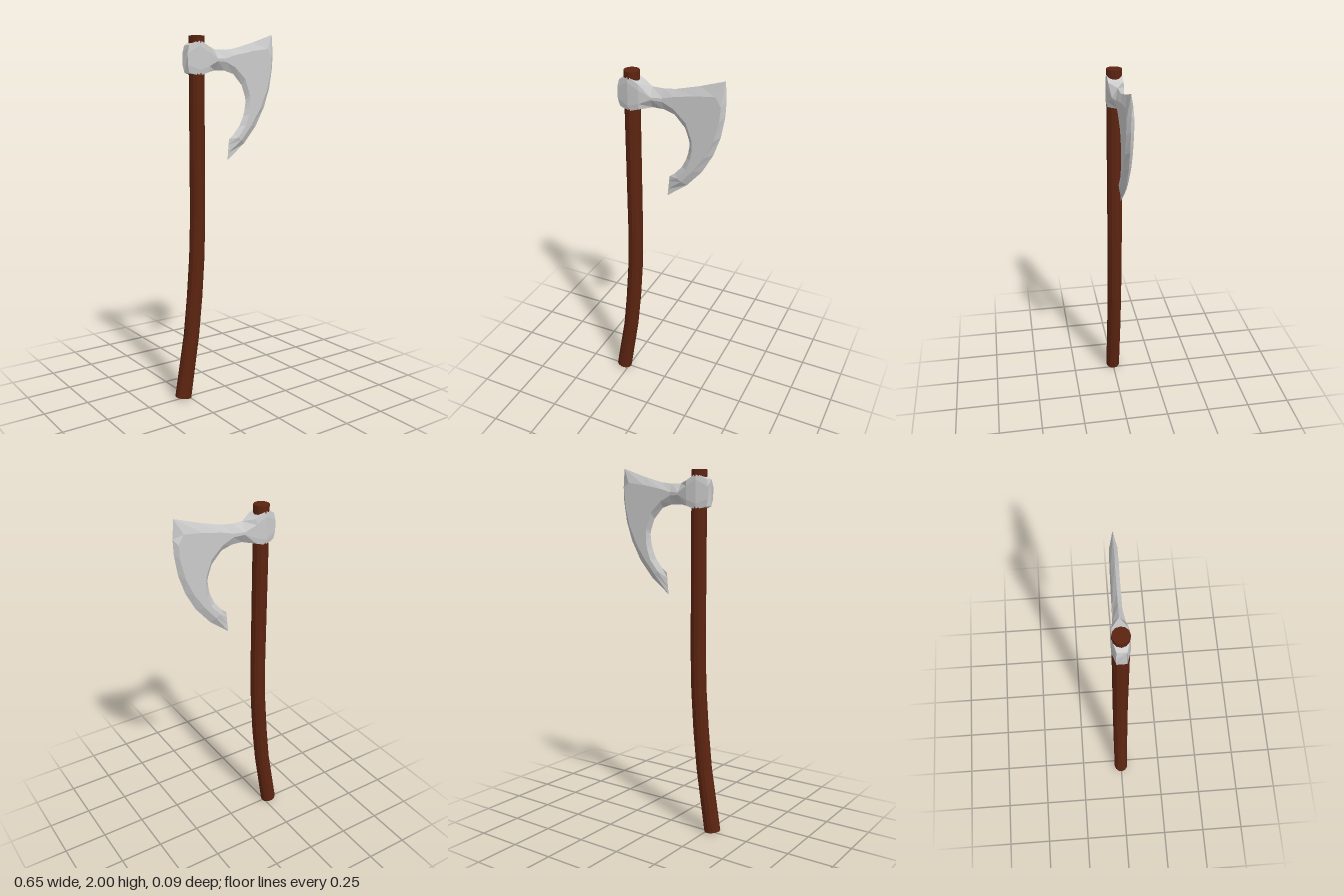
import * as THREE from 'three';

// Flat-shaded skin over equal-length rings, closed at both ends.
// Rings run counter-clockwise about the direction of travel.
function loft(rings, material, name) {
  const pos = [];
  const ab = new THREE.Vector3(), ac = new THREE.Vector3();
  const tri = (a, b, c) => {
    ab.subVectors(b, a);
    ac.subVectors(c, a);
    if (ab.cross(ac).length() > 1e-8) pos.push(...a, ...b, ...c);
  };
  const n = rings[0].length;
  for (let s = 0; s < rings.length - 1; s++) {
    const r = rings[s], q = rings[s + 1];
    for (let j = 0; j < n; j++) {
      const k = (j + 1) % n;
      tri(r[j], r[k], q[k]);
      tri(r[j], q[k], q[j]);
    }
  }
  const first = rings[0], last = rings[rings.length - 1];
  for (let j = 1; j < n - 1; j++) {
    tri(first[0], first[j + 1], first[j]);
    tri(last[0], last[j], last[j + 1]);
  }
  const geo = new THREE.BufferGeometry();
  geo.setAttribute('position', new THREE.Float32BufferAttribute(pos, 3));
  geo.computeVertexNormals();
  const mesh = new THREE.Mesh(geo, material);
  mesh.name = name;
  return mesh;
}

// Curved haft: 12-sided rings square to the path, [x, y, radius] from the top down
function createHandle() {
  const path = [
    [-0.18, 1.98, 0.041], [-0.18, 1.5, 0.041], [-0.18, 1.02, 0.041],
    [-0.187, 0.8, 0.042], [-0.203, 0.58, 0.043], [-0.226, 0.36, 0.043], [-0.283, 0.008, 0.046],
  ];
  const rings = path.map(([x, y, r], i) => {
    const a = path[Math.max(i - 1, 0)], b = path[Math.min(i + 1, path.length - 1)];
    const d = new THREE.Vector2(b[0] - a[0], b[1] - a[1]).normalize();
    return Array.from({ length: 12 }, (_, k) => {
      const t = (k / 12) * Math.PI * 2, c = Math.cos(t) * r;
      return new THREE.Vector3(x - d.y * c, y + d.x * c, Math.sin(t) * 0.042);
    });
  });
  const material = new THREE.MeshStandardMaterial({ color: 0x5c2410, flatShading: true });
  return loft(rings, material, 'handle');
}

// Head: each station spans the outer (top, then cutting) edge to the inner (lower) edge.
// [outer x, y, inner x, y, outer bevel, inner bevel, half thickness, half width of edge]
function createHead() {
  const stations = [
    // eye around the haft
    [-0.24, 1.93, -0.24, 1.79, 0.04, 0.04, 0.026, 0.024],
    [-0.185, 1.958, -0.185, 1.775, 0.03, 0.03, 0.044, 0.04],
    [-0.125, 1.925, -0.125, 1.795, 0.03, 0.03, 0.044, 0.04],
    // neck
    [-0.065, 1.912, -0.065, 1.803, 0.048, 0.048, 0.03, 0],
    [-0.005, 1.912, -0.005, 1.803, 0.045, 0.045, 0.02, 0],
    // blade root
    [0.06, 1.92, 0.055, 1.785, 0.035, 0.035, 0.019, 0],
    [0.185, 1.955, 0.112, 1.725, 0.05, 0.035, 0.019, 0],
    // upper horn and crescent
    [0.317, 2.0, 0.134, 1.665, 0.09, 0.03, 0.019, 0],
    [0.325, 1.9, 0.138, 1.645, 0.035, 0.03, 0.019, 0],
    [0.322, 1.82, 0.137, 1.625, 0.035, 0.03, 0.019, 0],
    [0.304, 1.71, 0.132, 1.59, 0.04, 0.03, 0.019, 0],
    [0.268, 1.605, 0.122, 1.555, 0.045, 0.03, 0.019, 0],
    [0.21, 1.5, 0.098, 1.505, 0.045, 0.03, 0.019, 0],
    [0.128, 1.405, 0.058, 1.458, 0.035, 0.025, 0.019, 0],
    // lower tip
    [0.017, 1.318, 0.028, 1.435, 0.04, 0.03, 0, 0],
  ];
  const rings = stations.map(([ox, oy, ix, iy, bo, bi, t, e]) => {
    const outer = new THREE.Vector3(ox, oy, 0), inner = new THREE.Vector3(ix, iy, 0);
    const length = outer.distanceTo(inner);
    const at = (d, z) => outer.clone().lerp(inner, d / length).setZ(z);
    const side = [at(0, e), at(bo, t), at(length - bi, t), at(length, e)];
    const back = side.map((p) => p.clone().setZ(-p.z)).reverse();
    return [...side, ...back];
  });
  // push the middle of the poll slightly outward
  for (const j of [1, 2, 5, 6]) rings[0][j].x -= 0.01;
  const material = new THREE.MeshStandardMaterial({ color: 0xcccccc, flatShading: true });
  return loft(rings, material, 'axeHead');
}

export function createModel() {
  const group = new THREE.Group();
  group.name = 'beardedAxe';
  group.add(createHandle(), createHead());
  return group;
}
